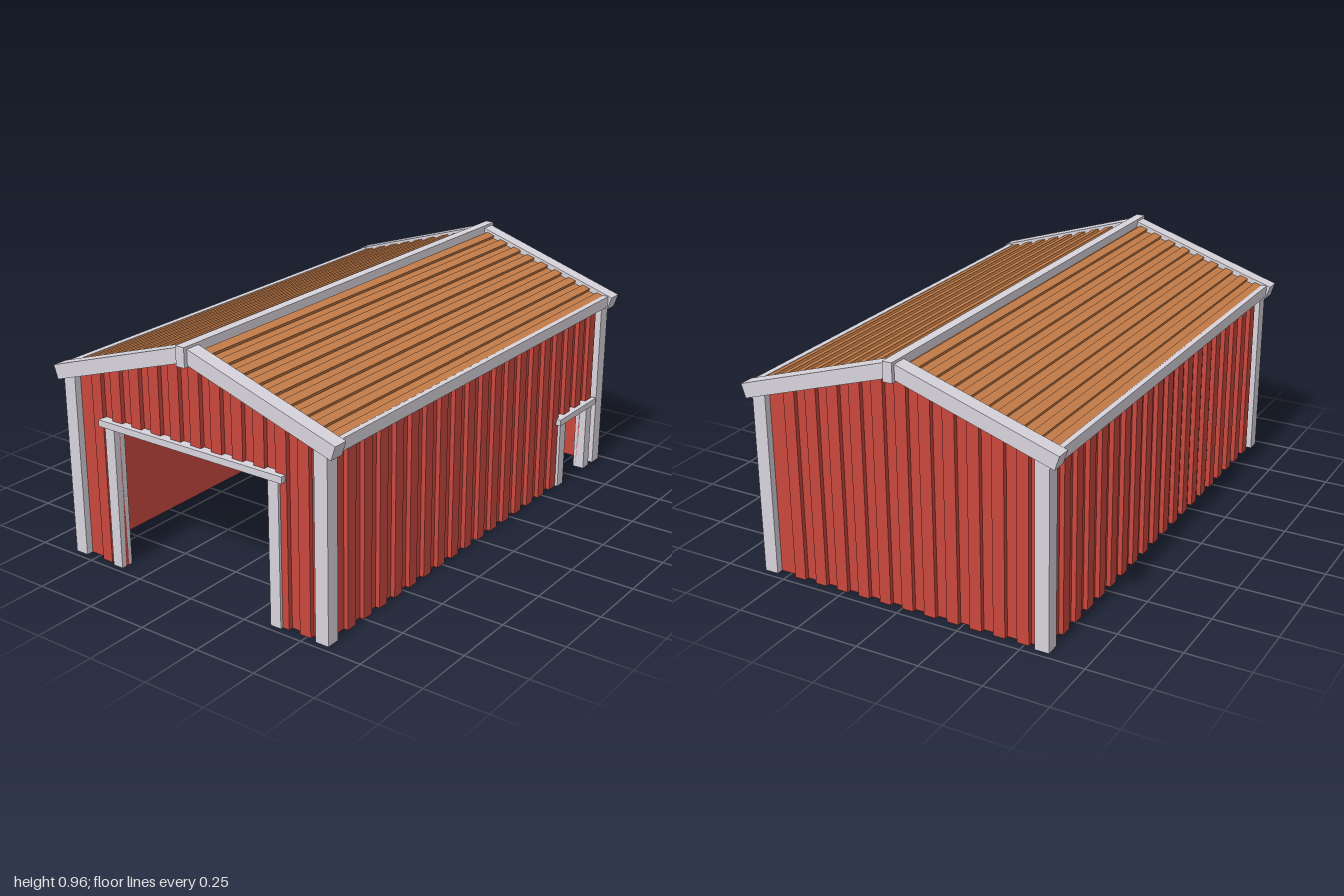
import * as THREE from 'three';

const RED = new THREE.MeshStandardMaterial({ color: 0xc9483e });
const BROWN = new THREE.MeshStandardMaterial({ color: 0xc47c48 });
const TRIM = new THREE.MeshStandardMaterial({ color: 0xd8d4dc });

const SLOPE = 0.32;
const PITCH = Math.atan(SLOPE);

// Box given by its minimum and maximum corners
function box(parent, name, material, min, max) {
  const size = max.map((v, i) => v - min[i]);
  const mesh = new THREE.Mesh(new THREE.BoxGeometry(...size), material);
  mesh.position.set(...max.map((v, i) => (v + min[i]) / 2));
  mesh.name = name;
  parent.add(mesh);
  return mesh;
}

// Extruded outline, from z to z + depth
function slab(parent, name, material, points, z, depth) {
  const shape = new THREE.Shape(points.map(([x, y]) => new THREE.Vector2(x, y)));
  const geometry = new THREE.ExtrudeGeometry(shape, { depth, bevelEnabled: false });
  const mesh = new THREE.Mesh(geometry.translate(0, 0, z), material);
  mesh.name = name;
  parent.add(mesh);
  return mesh;
}

// Strip of wall from a to b with its top following topAt
function strip(a, b, bottom, topAt) {
  const points = [[a, bottom], [b, bottom], [b, topAt(b)]];
  if (a < 0 && b > 0) points.push([0, topAt(0)]);
  points.push([a, topAt(a)]);
  return points;
}

// Ribbed wall facing local +z; opening = [x0, x1, height]
function wall(name, halfWidth, distance, topAt, opening) {
  const group = new THREE.Group();
  group.name = name;
  let outline = strip(-halfWidth, halfWidth, 0, topAt);
  if (opening) {
    const [x0, x1, h] = opening;
    outline = [outline[0], [x0, 0], [x0, h], [x1, h], [x1, 0], ...outline.slice(1)];
  }
  slab(group, 'wallPanel', RED, outline, distance, 0.01);

  const step = 0.047;
  const n = Math.floor(halfWidth / step / 2);
  for (let k = -n; k <= n; k++) {
    const a = Math.max(-halfWidth, 2 * k * step);
    const b = Math.min(halfWidth, a + step);
    // Split the rib where it crosses the sides of the opening
    const cuts = [a, b];
    if (opening) cuts.push(...opening.slice(0, 2).filter((x) => x > a && x < b));
    cuts.sort((p, q) => p - q);
    for (let i = 0; i + 1 < cuts.length; i++) {
      const mid = (cuts[i] + cuts[i + 1]) / 2;
      const above = opening && mid > opening[0] && mid < opening[1];
      const points = strip(cuts[i], cuts[i + 1], above ? opening[2] : 0, topAt);
      slab(group, 'wallRib', RED, points, distance + 0.01, 0.018);
    }
  }
  return group;
}

// Door frame in the local xy plane: two posts and a lintel
function doorFrame(parent, name, [x0, x1, h], post, overhang, back, front) {
  const frame = new THREE.Group();
  frame.name = name;
  box(frame, 'doorPost', TRIM, [x0 - post, 0, back], [x0, h, front]);
  box(frame, 'doorPost', TRIM, [x1, 0, back], [x1 + post, h, front]);
  box(frame, 'doorLintel', TRIM, [x0 - post - overhang, h, back],
    [x1 + post + overhang, h + 0.026, front + 0.009]);
  parent.add(frame);
}

// One roof slope towards +x, with its edge boards
function roofHalf(name) {
  const half = new THREE.Group();
  half.name = name;

  // Ribbed roof sheet as one cross-section running along the ridge
  const length = 0.605 / Math.cos(PITCH);
  const ribs = 9;
  const pitch = length / ribs;
  const points = [[0, -0.03], [length, -0.03]];
  for (let i = ribs; i > 0; i--) {
    const end = i * pitch;
    points.push([end, 0], [end - pitch / 2, 0]);
    points.push([end - pitch / 2, -0.012], [end - pitch, -0.012]);
  }
  const sheet = slab(half, 'roofSheet', BROWN, points, -0.93, 1.86);
  sheet.position.y = 0.945;
  sheet.rotation.z = -PITCH;

  // Sloping boards along both gables
  const boardLength = 0.64 / Math.cos(PITCH);
  for (const z of [-0.985, 0.925]) {
    const board = slab(half, 'gableBoard', TRIM,
      [[-0.018, -0.056], [boardLength, -0.056], [boardLength, 0], [0, 0]], z, 0.06);
    board.position.y = 0.956;
    board.rotation.z = -PITCH;
  }
  box(half, 'eaveBoard', TRIM, [0.602, 0.71, -0.928], [0.624, 0.755, 0.928]);
  return half;
}

export function createModel() {
  const barn = new THREE.Group();
  barn.name = 'barn';

  // Gable walls
  const gableTop = (x) => 0.912 - SLOPE * Math.abs(x);
  const mainDoor = [-0.36, 0.35, 0.56];
  const front = wall('frontWall', 0.56, 0.937, gableTop, mainDoor);
  doorFrame(front, 'mainDoorFrame', mainDoor, 0.045, 0.022, 0.925, 0.976);
  const back = wall('backWall', 0.56, 0.937, gableTop);
  back.rotation.y = Math.PI;

  // Long walls
  const eaveTop = () => 0.73;
  const sideDoor = [0.66, 0.84, 0.28];
  const left = wall('leftWall', 0.937, 0.56, eaveTop, sideDoor);
  doorFrame(left, 'sideDoorFrame', sideDoor, 0.046, 0.018, 0.55, 0.598);
  left.rotation.y = Math.PI / 2;
  const right = wall('rightWall', 0.937, 0.56, eaveTop);
  right.rotation.y = -Math.PI / 2;
  barn.add(front, back, left, right);

  // Corner posts
  for (const sx of [-1, 1]) {
    for (const sz of [-1, 1]) {
      const post = box(barn, 'cornerPost', TRIM, [-0.0275, 0, -0.0275], [0.0275, 0.725, 0.0275]);
      post.position.x = sx * 0.5725;
      post.position.z = sz * 0.9475;
    }
  }

  // Roof slopes and ridge
  const slopeB = roofHalf('roofRight');
  slopeB.rotation.y = Math.PI;
  barn.add(roofHalf('roofLeft'), slopeB);
  box(barn, 'ridgeCap', TRIM, [-0.019, 0.925, -0.93], [0.019, 0.96, 0.93]);
  box(barn, 'ridgeEnd', TRIM, [-0.019, 0.885, 0.93], [0.019, 0.96, 1]);
  box(barn, 'ridgeEnd', TRIM, [-0.019, 0.885, -1], [0.019, 0.96, -0.93]);
  return barn;
}
